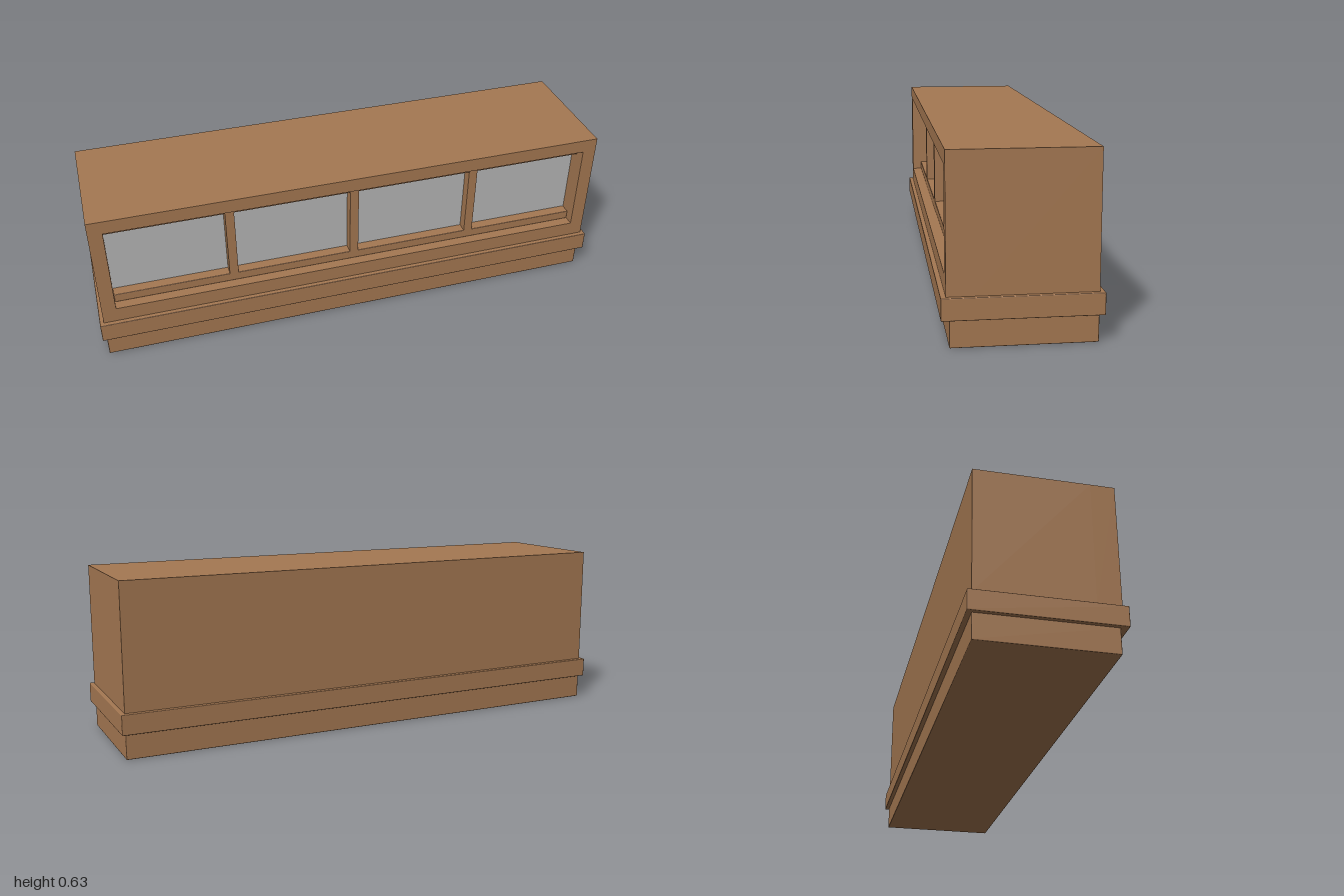
import * as THREE from 'three';
import { RoundedBoxGeometry } from 'three/addons/geometries/RoundedBoxGeometry.js';

export function createModel() {
  const group = new THREE.Group();
  const wood = new THREE.MeshStandardMaterial({ color: 0xa57852 });
  wood.name = 'wood';
  const glass = new THREE.MeshStandardMaterial({ color: 0xb6b6b6 });
  glass.name = 'grey glass';

  const add = (name, geometry, material) => {
    const mesh = new THREE.Mesh(geometry, material);
    mesh.name = name;
    group.add(mesh);
    return mesh;
  };
  // Box given by its limits on each axis; bevel > 0 softens the edges
  const box = (name, [x0, x1], [y0, y1], [z0, z1], material = wood, bevel = 0) => {
    const size = [x1 - x0, y1 - y0, z1 - z0];
    const geometry = bevel ? new RoundedBoxGeometry(...size, 1, bevel) : new THREE.BoxGeometry(...size);
    add(name, geometry, material).position.set((x0 + x1) / 2, (y0 + y1) / 2, (z0 + z1) / 2);
  };
  const rectangle = (path, x0, x1, y0, y1) =>
    path.moveTo(x0, y0).lineTo(x1, y0).lineTo(x1, y1).lineTo(x0, y1).closePath();

  const glassZ = 0.165;
  const barZ = 0.205;
  const opening = [-0.932, 0.932];

  // Plinth and projecting band
  box('plinth', [-0.985, 0.985], [0, 0.095], [-0.243, 0.233], wood, 0.003);
  box('band', [-1, 1], [0.093, 0.167], [-0.26, 0.26], wood, 0.003);

  // Solid rear of the cabinet, and the front frame around the opening
  box('cabinetBody', [-0.985, 0.985], [0.165, 0.627], [-0.243, glassZ - 0.006]);
  const frame = rectangle(new THREE.Shape(), -0.985, 0.985, 0.165, 0.627);
  frame.holes.push(rectangle(new THREE.Path(), ...opening, 0.225, 0.575));
  const frameGeometry = new THREE.ExtrudeGeometry(frame, { depth: 0.249 - glassZ, bevelEnabled: false });
  add('frontFrame', frameGeometry, wood).position.z = glassZ - 0.006;

  // Glass, rails and dividers set back in the opening
  box('glass', opening, [0.23, 0.57], [glassZ - 0.005, glassZ], glass);
  box('bottomRail', opening, [0.225, 0.26], [glassZ - 0.005, barZ], wood, 0.003);
  box('topRail', opening, [0.542, 0.575], [glassZ - 0.005, barZ], wood, 0.003);
  for (const x of [-0.476, 0.003, 0.485])
    box('divider', [x - 0.017, x + 0.017], [0.255, 0.547], [glassZ - 0.005, barZ]);

  return group;
}
